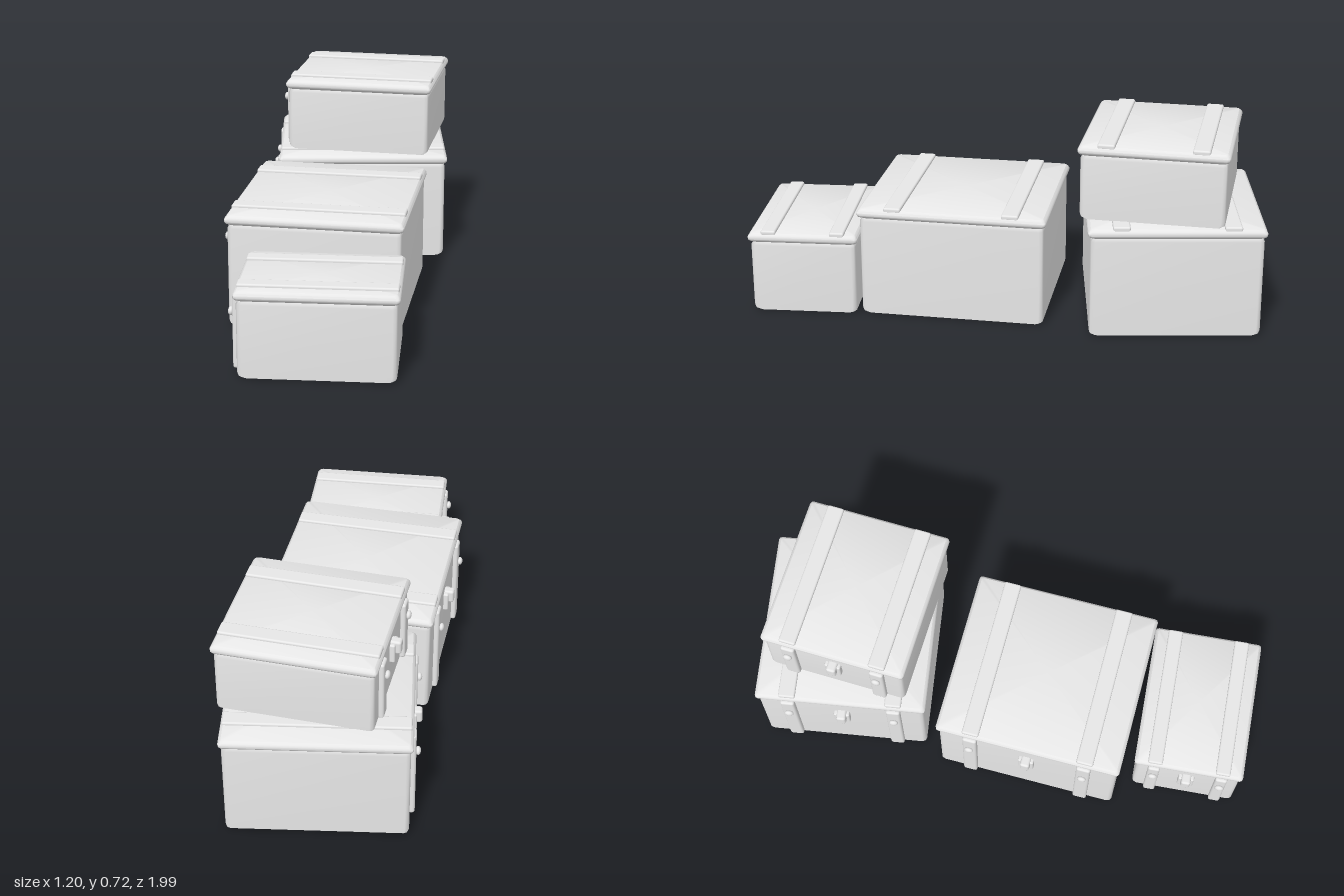
import * as THREE from 'three';
import { toCreasedNormals } from 'three/addons/utils/BufferGeometryUtils.js';
import { RoundedBoxGeometry } from 'three/addons/geometries/RoundedBoxGeometry.js';

const grey = new THREE.MeshStandardMaterial({ color: 0xe7e7e7 });
grey.name = 'pale grey';

const PER = 12; // points around each ring, three per corner

// Corner-rounded rectangle lofted through rings of [height, inset], capped at both ends
function loft(w, d, radius, rings) {
  const pos = [], index = [];
  for (const [y, inset] of rings) {
    for (let c = 0; c < 4; c++) {
      const sx = c === 0 || c === 3 ? 1 : -1, sz = c < 2 ? 1 : -1;
      for (let k = 0; k < 3; k++) {
        const a = (c + k / 2) * Math.PI / 2;
        pos.push(sx * (w / 2 - inset - radius) + radius * Math.cos(a), y,
          sz * (d / 2 - inset - radius) + radius * Math.sin(a));
      }
    }
  }
  const last = (rings.length - 1) * PER, bottom = rings.length * PER, top = bottom + PER;
  for (let j = 0; j < PER; j++) pos.push(0, rings[0][0], 0);
  pos.push(0, rings[rings.length - 1][0], 0);
  for (let j = 0; j < PER; j++) {
    const n = (j + 1) % PER;
    for (let i = 0; i < last; i += PER) {
      index.push(i + j, i + PER + j, i + n, i + n, i + PER + j, i + PER + n);
    }
    index.push(bottom + j, j, n, top, last + n, last + j);
  }
  const g = new THREE.BufferGeometry();
  g.setAttribute('position', new THREE.Float32BufferAttribute(pos, 3));
  g.setIndex(index);
  g.computeVertexNormals();
  return g;
}

// Case body whose underside is smoothed into the walls, fanning out from its centre
function bodyGeometry(w, d, h) {
  const rings = [[0, 0.016], [0.012, 0.003], [0.025, 0], [h - 0.012, 0], [h + 0.002, 0.01]];
  const g = loft(w, d, 0.016, rings);
  const normal = g.attributes.normal;
  for (let j = 0; j < PER; j++) {
    const wall = 2 * PER + j;
    for (const v of [j, PER + j, rings.length * PER + j]) {
      normal.setXYZ(v, normal.getX(wall), normal.getY(wall), normal.getZ(wall));
    }
  }
  return g;
}

function add(group, name, geometry, x = 0, y = 0, z = 0) {
  const m = new THREE.Mesh(geometry, grey);
  m.name = name;
  m.position.set(x, y, z);
  group.add(m);
  return m;
}

const block = (w, h, d, r) => new RoundedBoxGeometry(w, h, d, 2, r);

// One lidded case; w and d are the lid size, h is the height of the lid's underside
function makeCase(name, w, d, h, strapWidth) {
  const g = new THREE.Group();
  g.name = name;
  const inset = 0.01, face = -w / 2 + inset;

  add(g, 'body', bodyGeometry(w - 2 * inset, d - 2 * inset, h));

  // Lid with a rounded rim and a flat top
  const lid = loft(w, d, 0.012,
    [[0, 0.016], [0.007, 0.005], [0.014, 0.001], [0.023, 0.001], [0.03, 0.005], [0.037, 0.012]]);
  add(g, 'lid', toCreasedNormals(lid, 0.7), 0, h);

  for (const side of [-1, 1]) {
    const z = side * d * 0.31;
    // Strap over the lid, upright strap on the latch side, and its clip
    add(g, 'lidStrap', block(w - 0.014, 0.02, strapWidth, 0.007), 0, h + 0.037, z);
    const low = h * 0.075, tall = h - low + 0.005;
    add(g, 'sideStrap', block(0.03, tall, strapWidth - 0.01, 0.009), face - 0.003, low + tall / 2, z);
    add(g, 'strapClip', new THREE.SphereGeometry(1, 14, 10), face - 0.024, h * 0.79, z)
      .scale.set(0.01, 0.015, 0.017);
  }

  // Central latch: broad plate with a narrower raised hasp
  const y = h * 0.78;
  add(g, 'latchPlate', block(0.036, 0.074, 0.06, 0.006), face, y - 0.023);
  add(g, 'latchHasp', block(0.05, 0.052, 0.036, 0.009), face - 0.012, y - 0.004);
  return g;
}

export function createModel() {
  const model = new THREE.Group();
  model.name = 'stackedCases';
  // name, lid width, lid depth, lid underside height, strap width, position, turn in degrees
  const cases = [
    ['backCase', 0.663, 0.643, 0.384, 0.063, [-0.17, 0, -0.57], 25.8],
    ['topCase', 0.575, 0.543, 0.245, 0.063, [-0.128, 0.429, -0.545], 14.7],
    ['middleCase', 0.642, 0.705, 0.384, 0.064, [0.045, 0, 0.175], 16.3],
    ['frontCase', 0.555, 0.412, 0.279, 0.055, [0.275, 0, 0.708], 21],
  ];
  for (const [name, w, d, h, strap, at, turn] of cases) {
    const c = makeCase(name, w, d, h, strap);
    c.position.set(...at);
    c.rotation.y = THREE.MathUtils.degToRad(turn);
    model.add(c);
  }
  return model;
}
